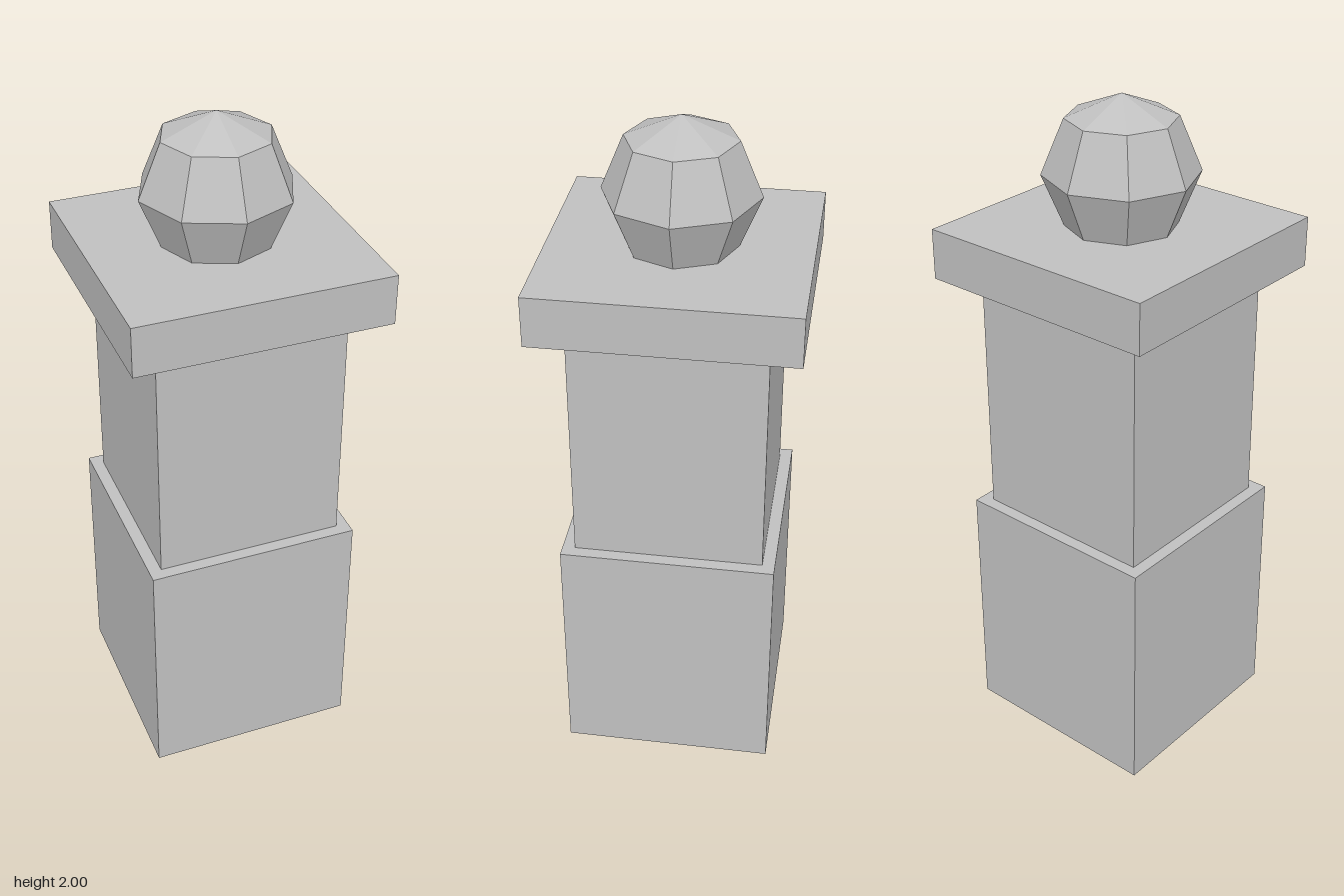
import * as THREE from 'three';

export function createModel() {
  const group = new THREE.Group();
  const stone = new THREE.MeshStandardMaterial({ color: 0xc0c0c0, flatShading: true });
  stone.name = 'stone grey';

  const add = (name, geometry, y) => {
    const mesh = new THREE.Mesh(geometry, stone);
    mesh.name = name;
    mesh.position.y = y;
    group.add(mesh);
  };

  // Stacked square blocks: name, width, bottom, top
  const blocks = [
    ['base', 0.63, 0, 0.741],
    ['shaft', 0.556, 0.741, 1.482],
    ['capSlab', 0.741, 1.482, 1.63],
  ];
  for (const [name, width, bottom, top] of blocks) {
    add(name, new THREE.BoxGeometry(width, top - bottom, width), (bottom + top) / 2);
  }

  // Faceted ball, its lowest ring sunk into the slab
  const radius = 0.222;
  add('ballFinial', new THREE.SphereGeometry(radius, 8, 4), 2 - radius);

  return group;
}
